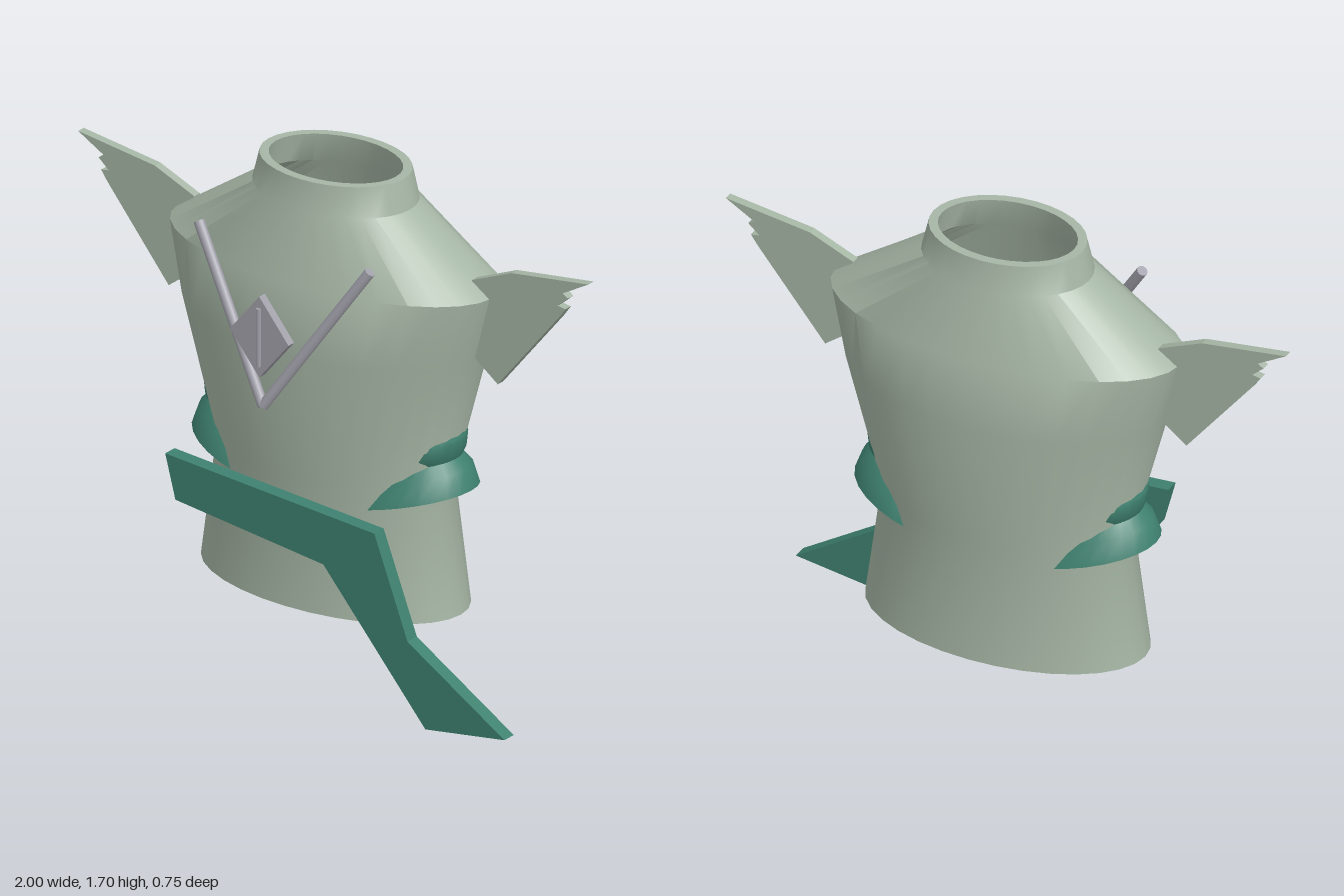
import * as THREE from 'three';
import { toCreasedNormals } from 'three/addons/utils/BufferGeometryUtils.js';

const CZ = -0.045; // depth centre of the body

const sage = new THREE.MeshStandardMaterial({ color: 0xa6b6a5 });
sage.name = 'sage cloth';
const teal = new THREE.MeshStandardMaterial({ color: 0x3e806f });
teal.name = 'teal cloth';
const silver = new THREE.MeshStandardMaterial({ color: 0xa2a1ab });
silver.name = 'silver trim';

function add(parent, name, geometry, material) {
  const mesh = new THREE.Mesh(geometry, material);
  mesh.name = name;
  parent.add(mesh);
  return mesh;
}

// Closed shell through elliptical rings [centreX, centreY, radiusX, radiusZ, rise]
function loftShell(rings, segments, crease) {
  const pos = [], index = [], n = rings.length;
  for (const [cx, cy, rx, rz, rise = 0] of rings) {
    for (let j = 0; j < segments; j++) {
      const a = (j / segments) * Math.PI * 2;
      pos.push(cx + rx * Math.cos(a), cy + rise * Math.cos(a), CZ + rz * Math.sin(a));
    }
  }
  for (let i = 0; i < n; i++) {
    for (let j = 0; j < segments; j++) {
      const k = (j + 1) % segments, r0 = i * segments, r1 = ((i + 1) % n) * segments;
      index.push(r0 + j, r1 + j, r0 + k, r1 + j, r1 + k, r0 + k);
    }
  }
  const g = new THREE.BufferGeometry();
  g.setAttribute('position', new THREE.Float32BufferAttribute(pos, 3));
  g.setIndex(index);
  return toCreasedNormals(g, crease);
}

// Outer rings going up, then the same rings inset going down
function withWall(rings, t) {
  const inner = rings.map(([x, y, rx, rz, rise]) => [x, y, rx - t, rz - t, rise]).reverse();
  return [...rings, ...inner];
}

// Flat plate cut from an outline and centred on depth z
function plate(points, z, depth) {
  const shape = new THREE.Shape(points.map(([x, y]) => new THREE.Vector2(x, y)));
  const g = new THREE.ExtrudeGeometry(shape, { depth, bevelEnabled: false });
  return g.translate(0, 0, z - depth / 2);
}

export function createModel() {
  const model = new THREE.Group();
  model.name = 'tunic';

  // Hollow body, hem to collar
  const body = [
    [0, 0.25, 0.49, 0.275],
    [0, 0.68, 0.43, 0.25],
    [0, 1.15, 0.555, 0.33],
    [0, 1.38, 0.615, 0.295],
    [0, 1.6, 0.29, 0.21],
    [0, 1.7, 0.265, 0.195],
  ];
  add(model, 'body', loftShell(withWall(body, 0.03), 32, 0.6), sage);

  const wing = [
    [0.545, 1.43], [0.70, 1.495], [1.0, 1.535], [0.90, 1.478], [0.92, 1.465],
    [0.88, 1.43], [0.91, 1.425], [0.885, 1.39], [0.645, 1.095], [0.545, 1.17],
  ];
  // Cuff from flared rim to puffed top
  const cuff = [
    [0.25, 0.62, 0.28, 0.2, 0.07],
    [0.3, 0.71, 0.205, 0.165, 0.045],
    [0.335, 0.76, 0.135, 0.125, 0.025],
    [0.335, 0.785, 0.145, 0.142, 0.025],
    [0.335, 0.83, 0.15, 0.145, 0.025],
    [0.33, 0.87, 0.135, 0.13, 0.025],
  ];

  for (const s of [1, -1]) {
    const side = s > 0 ? 'left' : 'right';
    add(model, side + 'ShoulderWing', plate(wing.map(([x, y]) => [s * x, y]), CZ, 0.03), sage);

    const rings = cuff.map(([x, y, rx, rz, rise]) => [s * x, y, rx, rz, s * rise]);
    add(model, side + 'Cuff', loftShell(withWall(rings, 0.018), 28, 0.6), teal);

    // Collar trim rod
    const top = new THREE.Vector3(s * 0.335, 1.495, 0.23);
    const tip = new THREE.Vector3(0, 0.985, 0.345);
    const dir = top.clone().sub(tip);
    const rod = add(model, side + 'TrimRod', new THREE.CylinderGeometry(0.018, 0.018, dir.length(), 12), silver);
    rod.position.copy(top).add(tip).multiplyScalar(0.5);
    rod.quaternion.setFromUnitVectors(new THREE.Vector3(0, 1, 0), dir.normalize());
  }

  // Slanted sash with a hanging tail
  const sash = [
    [-0.42, 0.69], [-0.38, 0.54], [0.20, 0.47], [0.60, 0.005],
    [0.91, 0.05], [0.53, 0.29], [0.40, 0.63],
  ];
  add(model, 'sash', plate(sash, 0.27, 0.05), teal);

  // Diamond brooch with a raised rib
  const diamond = [[0, 1.09], [0.115, 1.23], [0, 1.37], [-0.115, 1.23]];
  add(model, 'brooch', plate(diamond, 0.35, 0.03), silver);
  const rib = add(model, 'broochRib', new THREE.CylinderGeometry(0.009, 0.009, 0.2, 8), silver);
  rib.position.set(0, 1.23, 0.368);

  return model;
}
